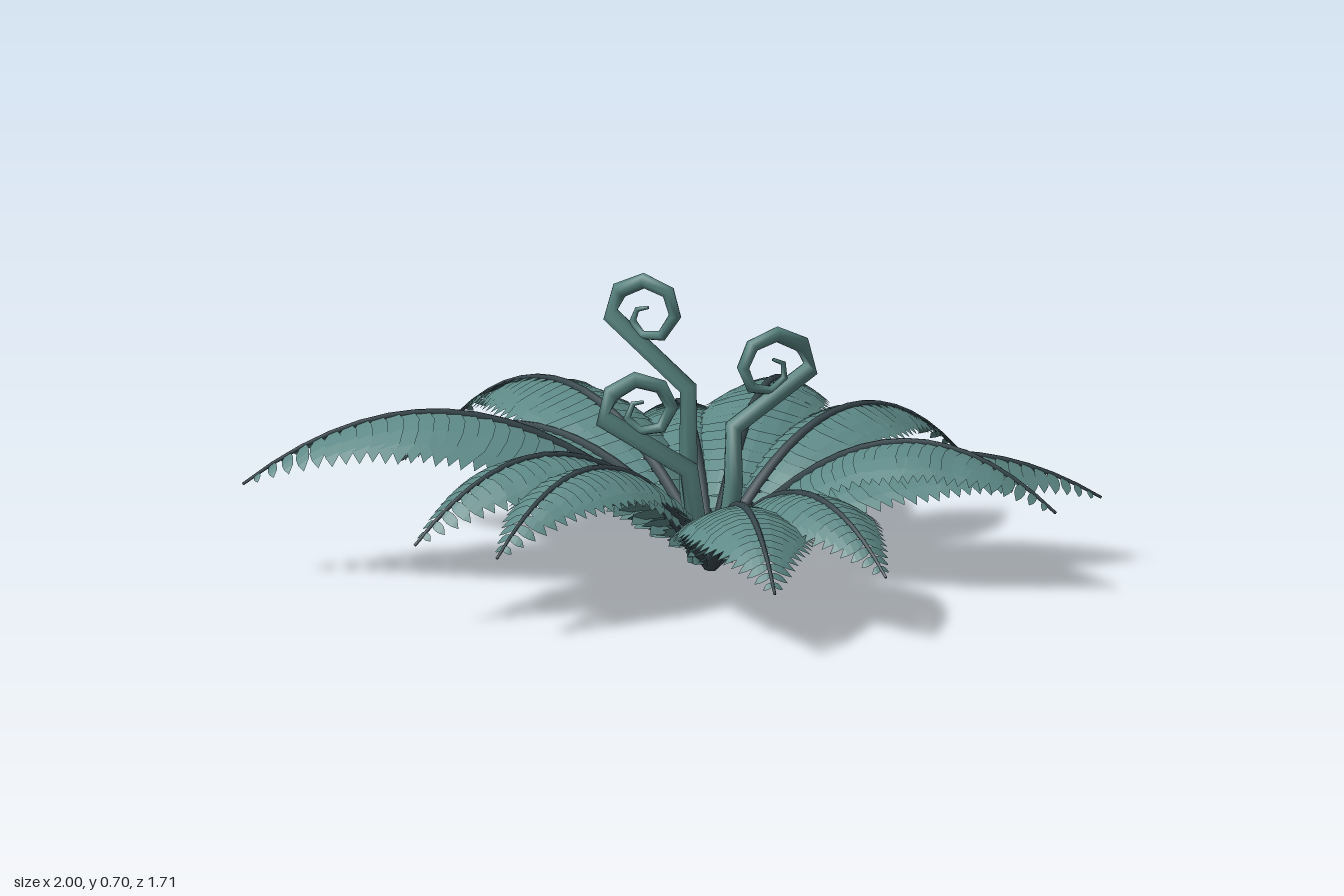
import * as THREE from 'three';

const V = (x, y, z) => new THREE.Vector3(x, y, z);
const CROWN = V(0.09, 0.012, -0.06);
const UP = V(0, 1, 0);

const leafMat = new THREE.MeshStandardMaterial({ color: 0x5c8886 });
leafMat.name = 'leaf green';
leafMat.side = THREE.DoubleSide;
leafMat.flatShading = true;
const ribMat = new THREE.MeshStandardMaterial({ color: 0x38484e });
ribMat.name = 'dark rib';
const stemMat = new THREE.MeshStandardMaterial({ color: 0x56827f });
stemMat.name = 'young stem green';

// Small seeded generator, -1 to 1
let seed = 7;
function jitter() {
  seed = (seed * 16807) % 2147483647;
  return (seed / 2147483647) * 2 - 1;
}

function toGeometry(pos, index) {
  const g = new THREE.BufferGeometry();
  g.setAttribute('position', new THREE.Float32BufferAttribute(pos, 3));
  g.setIndex(index);
  g.computeVertexNormals();
  return g;
}

// Tapered tube along a path lying in a vertical plane with the given normal
function sweep(points, radius, sides, normal) {
  const pos = [], index = [], n = points.length;
  points.forEach((p, i) => {
    const t = points[Math.min(i + 1, n - 1)].clone().sub(points[Math.max(i - 1, 0)]).normalize();
    const b = t.clone().cross(normal);
    const r = radius(i / (n - 1));
    for (let k = 0; k < sides; k++) {
      const a = (k / sides) * Math.PI * 2;
      const q = p.clone().addScaledVector(normal, r * Math.cos(a)).addScaledVector(b, r * Math.sin(a));
      pos.push(q.x, Math.max(q.y, 0), q.z);
    }
  });
  for (let i = 0; i < n - 1; i++) {
    for (let k = 0; k < sides; k++) {
      const a = i * sides + k, b = i * sides + ((k + 1) % sides);
      index.push(a, b, a + sides, b, b + sides, a + sides);
    }
  }
  // End caps
  const last = (n - 1) * sides;
  for (let k = 1; k < sides - 1; k++) {
    index.push(0, k + 1, k, last, last + k, last + k + 1);
  }
  return toGeometry(pos, index);
}

// One arching frond: a dark midrib with rows of overlapping leaflets
function makeFrond([tx, tz, peak, tip]) {
  const flat = V(tx - CROWN.x, 0, tz - CROWN.z);
  const L = flat.length();
  const p = peak - CROWN.y, t = tip - CROWN.y;
  const a = 2 * p + 2 * Math.sqrt(p * (p - t)), b = a - t;
  const at = (u) => CROWN.clone().addScaledVector(flat, u).addScaledVector(UP, a * u - b * u * u);
  const side = flat.clone().normalize().cross(UP);

  const frond = new THREE.Group();
  frond.name = 'frond';
  const path = Array.from({ length: 17 }, (_, i) => at(i / 16));
  const rib = new THREE.Mesh(sweep(path, (u) => 0.017 - 0.0135 * u, 6, side), ribMat);
  rib.name = 'midrib';
  frond.add(rib);

  // Leaflet outline: distance along, half width
  const rows = [[0, 0.42], [0.25, 0.95], [0.5, 1.05], [0.74, 0.85]];
  const pos = [], index = [], count = 30;
  for (const s of [-1, 1]) {
    for (let i = 0; i < count; i++) {
      const u = 0.03 + 0.94 * (i / (count - 1));
      const tan = flat.clone().addScaledVector(UP, a - 2 * b * u).normalize();
      const lift = side.clone().cross(tan);
      const len = L * 0.18 * Math.pow(Math.sin(Math.PI * Math.pow(u, 0.86)), 0.9) * (1 + 0.03 * jitter()) + 0.007;
      const hw = 0.005 + len * 0.155;
      const twist = 0.12 + 0.07 * jitter();
      const root = at(u);
      const point = (d, w) => {
        const q = root.clone()
          .addScaledVector(side, s * len * 0.98 * d)
          .addScaledVector(tan, len * 0.2 * d + w)
          .addScaledVector(lift, -len * (0.12 * d + 0.31 * d * d) - w * twist);
        pos.push(q.x, Math.max(q.y, 0), q.z);
      };
      const o = pos.length / 3;
      for (const [d, w] of rows) {
        point(d, -w * hw);
        point(d, w * hw);
      }
      point(1, hw * 0.25);
      const tri = (x, y, z) => (s > 0 ? index.push(o + x, o + y, o + z) : index.push(o + x, o + z, o + y));
      for (let r = 0; r < 3; r++) {
        const k = r * 2;
        tri(k, k + 2, k + 1);
        tri(k + 1, k + 2, k + 3);
      }
      tri(6, 8, 7);
    }
  }
  const leaflets = new THREE.Mesh(toGeometry(pos, index), leafMat);
  leaflets.name = 'leaflets';
  frond.add(leaflets);
  return frond;
}

// Young curled shoot; points are x, y and z follows the slope of its plane
function makeShoot({ slope, path }) {
  const pts = path.map(([x, y]) => V(x, y, CROWN.z + (x - CROWN.x) * slope));
  const normal = V(-slope, 0, 1).normalize();
  const mesh = new THREE.Mesh(sweep(pts, (u) => 0.024 - 0.02 * Math.pow(u, 1.5), 8, normal), stemMat);
  mesh.name = 'curledShoot';
  return mesh;
}

// Frond tips: x, z, peak height, tip height
const FRONDS = [
  [-1.0, -0.065, 0.39, 0.225], [-0.44, -0.83, 0.35, 0.2], [-0.59, -0.59, 0.28, 0.15],
  [0.05, -0.86, 0.28, 0.16], [0.375, -0.82, 0.34, 0.2], [0.7, -0.55, 0.32, 0.165],
  [1.0, -0.05, 0.27, 0.16], [0.87, 0.265, 0.345, 0.2], [0.44, 0.705, 0.28, 0.16],
  [0.17, 0.85, 0.27, 0.16], [-0.46, 0.615, 0.34, 0.2], [-0.64, 0.47, 0.355, 0.2],
];

const SHOOTS = [
  { slope: 0.48, path: [[0.06, 0.02], [0.04, 0.2], [0.04, 0.43], [-0.135, 0.59], [-0.115, 0.65], [-0.06, 0.678],
    [-0.005, 0.655], [0.01, 0.6], [-0.02, 0.55], [-0.065, 0.548], [-0.085, 0.58], [-0.075, 0.608], [-0.05, 0.615]] },
  { slope: -0.4, path: [[0.12, 0.02], [0.145, 0.2], [0.145, 0.335], [0.33, 0.455], [0.31, 0.515], [0.25, 0.546],
    [0.19, 0.525], [0.168, 0.475], [0.188, 0.425], [0.235, 0.413], [0.267, 0.44], [0.265, 0.475], [0.24, 0.487]] },
  { slope: 0.04, path: [[0.07, 0.02], [0.04, 0.24], [-0.16, 0.365], [-0.14, 0.425], [-0.085, 0.457],
    [-0.025, 0.44], [0.0, 0.39], [-0.025, 0.342], [-0.075, 0.335], [-0.104, 0.367], [-0.09, 0.4], [-0.065, 0.404]] },
];

export function createModel() {
  seed = 7;
  const model = new THREE.Group();
  model.name = 'fern';
  FRONDS.forEach((f) => model.add(makeFrond(f)));
  SHOOTS.forEach((s) => model.add(makeShoot(s)));
  return model;
}
